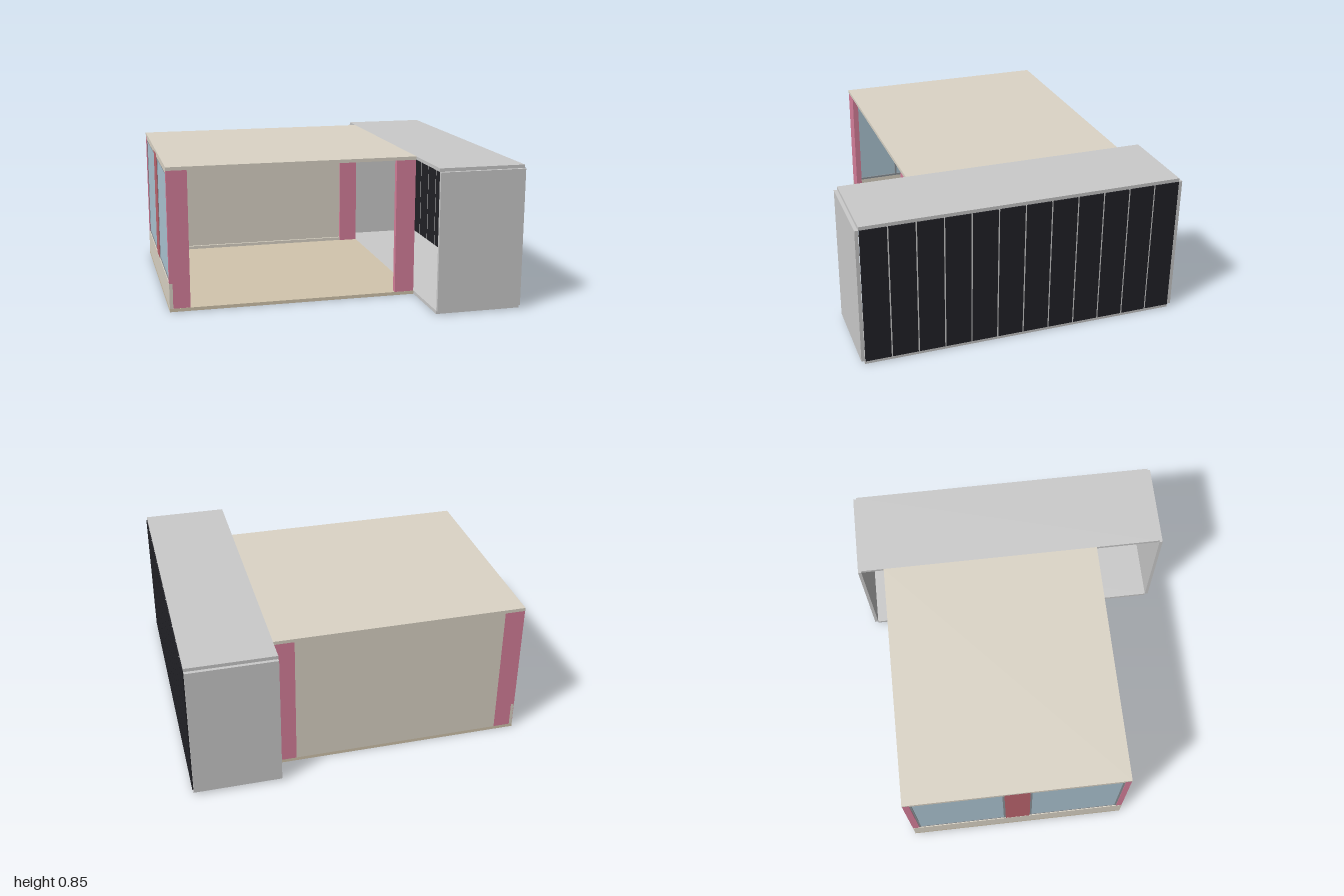
import * as THREE from 'three';

export function createModel() {
  const group = new THREE.Group();
  group.name = 'roomModule';
  const mat = (color) => new THREE.MeshStandardMaterial({ color, flatShading: true });
  const grey = mat(0xcccccc), beige = mat(0xdcd5c7), floorMat = mat(0xd3c6ae);
  const pink = mat(0xd8809c), red = mat(0xbe6670), glass = mat(0xadc6d4);
  const dark = mat(0x222227), frameMat = mat(0x8b9298);

  // Box given by its two extreme corners
  const box = (name, material, x0, x1, y0, y1, z0, z1) => {
    const mesh = new THREE.Mesh(new THREE.BoxGeometry(x1 - x0, y1 - y0, z1 - z0), material);
    mesh.position.set((x0 + x1) / 2, (y0 + y1) / 2, (z0 + z1) / 2);
    mesh.name = name;
    group.add(mesh);
    return mesh;
  };

  const H = 0.85, T = 0.02;            // overall height, slab thickness
  const ZB = -0.79, ZF = 0.53;         // room back and front

  // Room slabs and back wall
  box('roomFloor', floorMat, -1, 0.48, 0, T, ZB, ZF);
  box('roomRoof', beige, -1, 0.48, H - T, H, ZB, ZF);
  box('backWall', beige, -0.88, 0.36, T, H - T, ZB, ZB + 0.02);
  box('backSkirting', beige, -0.88, 0.36, T, 0.04, ZB + 0.02, ZB + 0.035);

  // Short corner walls
  for (const [x0, x1] of [[-0.999, -0.88], [0.36, 0.478]]) {
    box('backCornerWall', pink, x0, x1, T, H - T, ZB, ZB + 0.04);
    box('frontCornerWall', pink, x0, x1, T, H - T, ZF - 0.035, ZF - 0.001);
  }

  // Window side: low wall, lintel and middle column
  box('windowSill', beige, -1, -0.98, T, 0.17, ZB, ZF);
  box('windowLintel', beige, -0.998, -0.98, 0.81, H - T, ZB + 0.04, ZF - 0.035);
  box('middleColumn', red, -0.999, -0.89, T, H - T, -0.205, -0.055);

  // Two windows, each with a thin frame and a centre bar on the inside
  for (const [z0, z1] of [[ZB + 0.04, -0.205], [-0.055, ZF - 0.035]]) {
    const y0 = 0.17, y1 = 0.81, f = 0.012, zm = (z0 + z1) / 2;
    box('windowGlass', glass, -0.993, -0.987, y0, y1, z0, z1);
    box('windowBottomRail', frameMat, -0.995, -0.98, y0, y0 + f, z0, z1);
    box('windowTopRail', frameMat, -0.995, -0.98, y1 - f, y1, z0, z1);
    for (const z of [z0 + f / 2, z1 - f / 2])
      box('windowStile', frameMat, -0.995, -0.98, y0, y1, z - f / 2, z + f / 2);
    box('windowCentreBar', frameMat, -0.987, -0.98, y0, y1, zm - f / 2, zm + f / 2);
  }

  // Flat ceiling lights
  for (const x of [-0.635, 0.11])
    box('ceilingLight', beige, x - 0.105, x + 0.105, 0.824, H - T, -0.235, -0.025);

  // Side bay: a tube open to the room, closed at both ends
  const X0 = 0.48, X1 = 0.99;
  box('bayFloor', grey, X0, X1, 0, T, -0.93, 0.925);
  box('bayRoof', grey, X0, X1, H - T, H, -0.93, 0.925);
  box('bayBackEnd', grey, X0, X1, T, H - T, -0.95, -0.93);
  box('bayFrontEnd', grey, X0, X1, T, H - T, 0.925, 0.945);

  // Row of dark panels with light strips between them
  const n = 12, z0 = -0.93, step = 1.855 / n;
  for (let i = 0; i < n; i++) {
    const z = z0 + i * step;
    box('sidePanel', dark, 0.98, 0.996, T, H - T, z + 0.004, z + step - 0.004);
    if (i > 0) box('panelStrip', grey, 0.98, 0.994, T, H - T, z - 0.004, z + 0.004);
  }

  return group;
}
